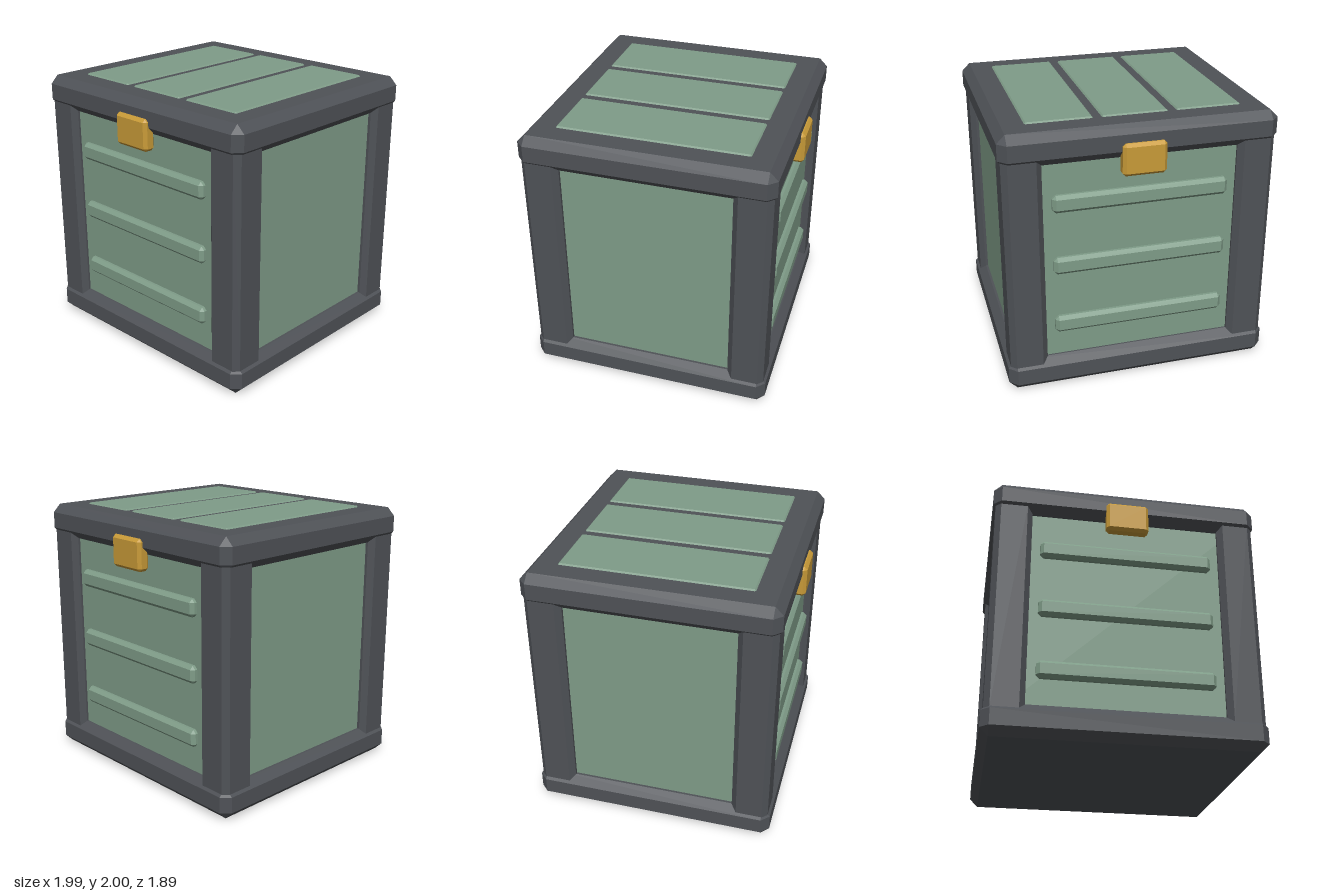
import * as THREE from 'three';
import { ConvexGeometry } from 'three/addons/geometries/ConvexGeometry.js';

const frameMat = new THREE.MeshStandardMaterial({ color: 0x4f5257 });
frameMat.name = 'dark grey frame';
const panelMat = new THREE.MeshStandardMaterial({ color: 0x7f9c88 });
panelMat.name = 'sage green panel';
const latchMat = new THREE.MeshStandardMaterial({ color: 0xc99b38 });
latchMat.name = 'brass latch';

// Box with all edges bevelled by c: each corner becomes three points
function bevelBox(w, h, d, c) {
  const points = [];
  for (const sx of [-1, 1]) for (const sy of [-1, 1]) for (const sz of [-1, 1]) {
    for (let full = 0; full < 3; full++) {
      const inset = [0, 1, 2].map((axis) => (axis === full ? 0 : c));
      points.push(new THREE.Vector3(
        sx * (w / 2 - inset[0]), sy * (h / 2 - inset[1]), sz * (d / 2 - inset[2])));
    }
  }
  return new ConvexGeometry(points);
}

export function createModel() {
  const crate = new THREE.Group();
  crate.name = 'crate';

  const add = (name, geometry, material, x, y, z) => {
    const mesh = new THREE.Mesh(geometry, material);
    mesh.name = name;
    mesh.position.set(x, y, z);
    crate.add(mesh);
  };

  // Inset body
  add('body', new THREE.BoxGeometry(1.83, 1.7, 1.68), panelMat, 0, 1, 0);

  // Base and lid slabs
  const slab = bevelBox(1.985, 0.24, 1.825, 0.06);
  add('base', slab, frameMat, 0, 0.12, 0);
  add('lid', slab, frameMat, 0, 1.87, 0);

  // Corner posts
  const post = bevelBox(0.275, 1.7, 0.275, 0.04);
  for (const sx of [-1, 1]) for (const sz of [-1, 1]) {
    add('cornerPost', post, frameMat, sx * 0.8375, 1, sz * 0.7575);
  }

  // Ribs and latch on front and back
  const rib = bevelBox(1.27, 0.13, 0.09, 0.025);
  const latch = bevelBox(0.315, 0.235, 0.095, 0.022);
  for (const sz of [-1, 1]) {
    for (const y of [0.502, 0.978, 1.455]) add('rib', rib, panelMat, 0, y, sz * 0.84);
    add('latch', latch, latchMat, 0, 1.752, sz * 0.8975);
  }

  // Raised slats on the lid
  const slat = bevelBox(0.475, 0.04, 1.39, 0.01);
  for (const i of [-1, 0, 1]) add('lidSlat', slat, panelMat, i * 0.537, 1.98, 0);

  return crate;
}
